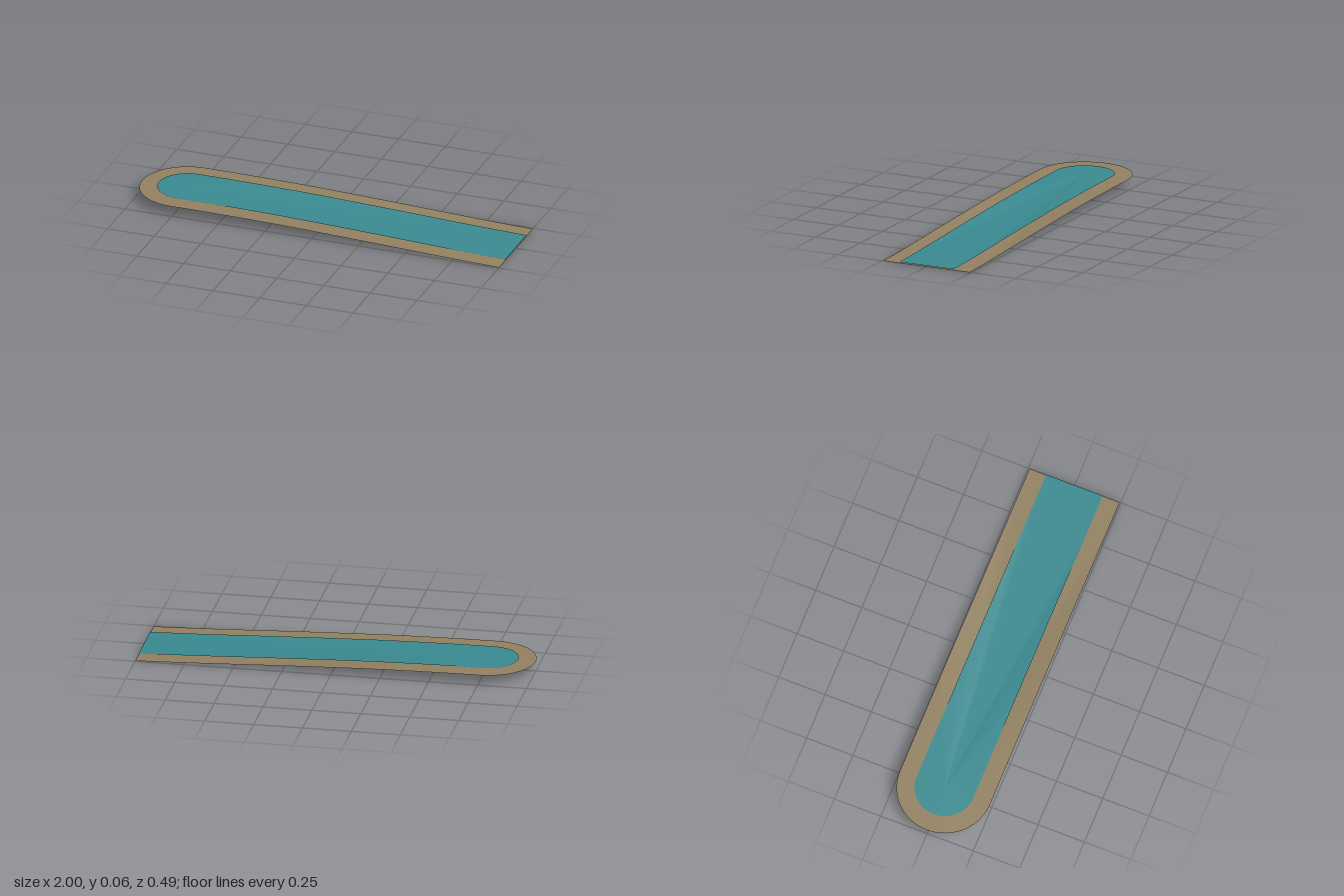
import * as THREE from 'three';

const CAP_X = -0.757; // centre of the rounded end
const COURSE = [[CAP_X, 0.051], [-0.6, 0.0505], [-0.4, 0.048], [-0.2, 0.044], [0, 0.0375],
  [0.2, 0.030], [0.4, 0.022], [0.6, 0.0135], [0.8, 0.006], [1, 0]];

// Sloping strip with one round end, fanned out from the centre of that end
function strip(halfWidth, lift) {
  const rim = [];
  for (const [x, y] of [...COURSE].reverse()) rim.push([x, y + lift, -halfWidth]);
  const steps = 24;
  for (let i = 1; i < steps; i++) {
    const a = Math.PI * i / steps;
    rim.push([CAP_X - halfWidth * Math.sin(a), 0.051 + lift, -halfWidth * Math.cos(a)]);
  }
  for (const [x, y] of COURSE) rim.push([x, y + lift, halfWidth]);

  const centre = [CAP_X, 0.052 + lift, 0];
  const points = [];
  rim.forEach((p, i) => points.push(...centre, ...p, ...rim[(i + 1) % rim.length]));
  const geometry = new THREE.BufferGeometry();
  geometry.setAttribute('position', new THREE.Float32BufferAttribute(points, 3));
  geometry.computeVertexNormals();
  return geometry;
}

export function createModel() {
  const sand = new THREE.MeshStandardMaterial({ name: 'sand', color: 0x948262, side: THREE.DoubleSide });
  const teal = new THREE.MeshStandardMaterial({ name: 'teal water', color: 0x3a8c92, side: THREE.DoubleSide });

  const group = new THREE.Group();
  group.name = 'stream';
  const add = (name, geometry, material) => {
    const mesh = new THREE.Mesh(geometry, material);
    mesh.name = name;
    group.add(mesh);
  };
  add('bank', strip(0.243, 0), sand);
  add('water', strip(0.153, 0.005), teal);
  return group;
}
